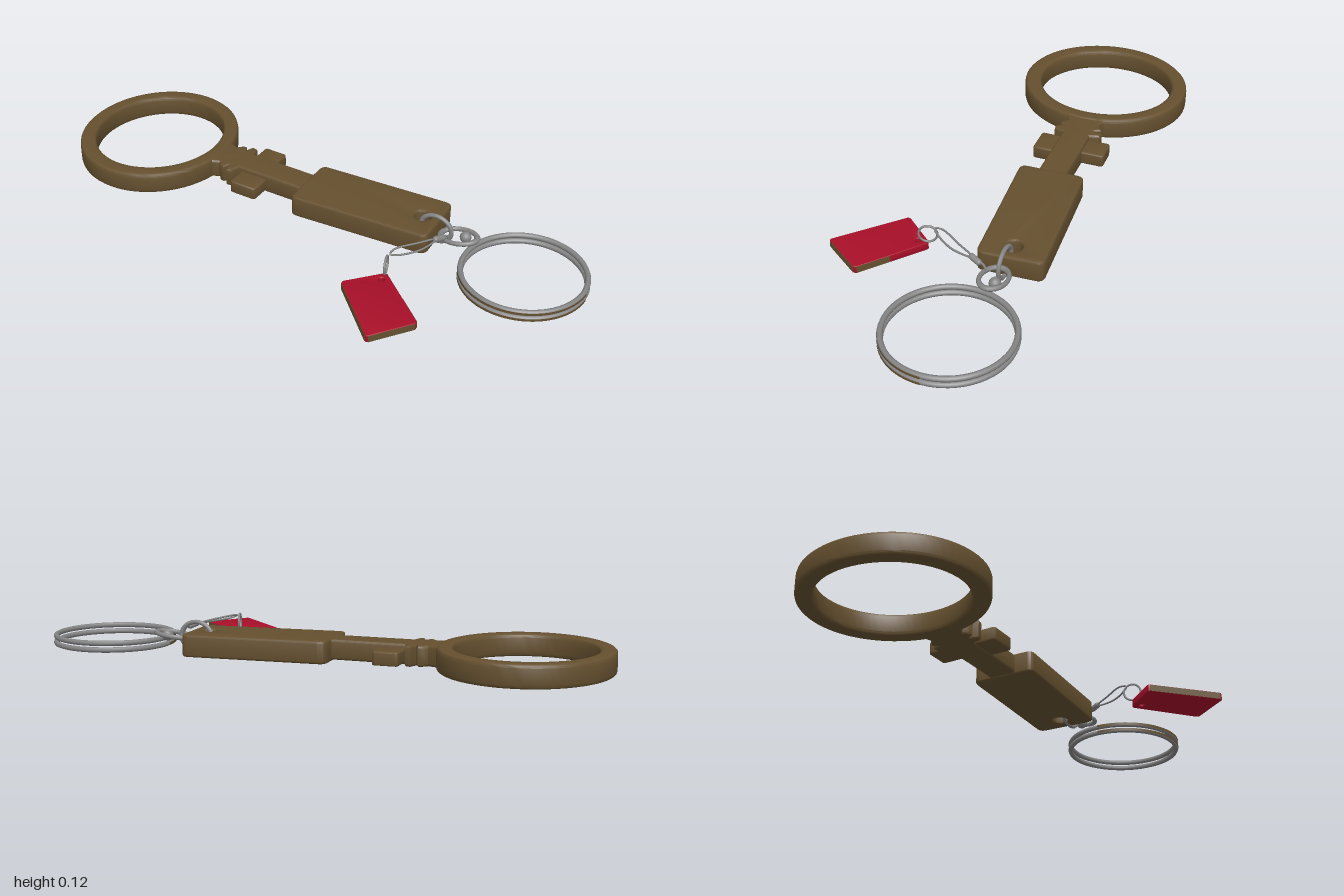
import * as THREE from 'three';
import { toCreasedNormals } from 'three/addons/utils/BufferGeometryUtils.js';

const brown = new THREE.MeshStandardMaterial({ color: 0x65502f });
brown.name = 'aged bronze';
const red = new THREE.MeshStandardMaterial({ color: 0xa80f28 });
red.name = 'red enamel';
const steel = new THREE.MeshStandardMaterial({ color: 0x858585 });
steel.name = 'steel';

const V = (x, y, z) => new THREE.Vector3(x, y, z);

// Plan outline given as [x, z] pairs, optionally with rounded corners
function outline(points, radius = 0) {
  const p = points.map(([x, z]) => new THREE.Vector2(x, -z));
  if (!radius) return new THREE.Shape(p);
  const shape = new THREE.Shape();
  p.forEach((c, i) => {
    const prev = p[(i + p.length - 1) % p.length], next = p[(i + 1) % p.length];
    const a = prev.clone().sub(c).setLength(radius).add(c);
    const b = next.clone().sub(c).setLength(radius).add(c);
    if (i) shape.lineTo(a.x, a.y); else shape.moveTo(a.x, a.y);
    shape.quadraticCurveTo(c.x, c.y, b.x, b.y);
  });
  shape.closePath();
  return shape;
}

function ellipse(x, z, rx, rz, Kind = THREE.Path) {
  return new Kind().absellipse(x, -z, rx, rz, 0, Math.PI * 2, false, 0);
}

// Upright slab from a plan shape, between two heights, with softened rims
function slab(name, shape, y0, y1, bevel, material) {
  let g = new THREE.ExtrudeGeometry(shape, {
    depth: y1 - y0 - 2 * bevel, curveSegments: 32, bevelEnabled: bevel > 0,
    bevelThickness: bevel, bevelSize: bevel, bevelOffset: -bevel, bevelSegments: 3,
  });
  g.rotateX(-Math.PI / 2).translate(0, y0 + bevel, 0);
  g = toCreasedNormals(g, 0.7);
  const m = new THREE.Mesh(g, material);
  m.name = name;
  return m;
}

function ring(name, radius, tube, position, rotation, scale = [1, 1, 1], segments = 32) {
  const m = new THREE.Mesh(new THREE.TorusGeometry(radius, tube, 8, segments), steel);
  m.name = name;
  m.position.set(...position);
  m.rotation.set(...rotation);
  m.scale.set(...scale);
  return m;
}

function createKey() {
  const key = new THREE.Group();
  key.name = 'key';

  // Large oval bow
  const bow = ellipse(-0.715, -0.132, 0.285, 0.31, THREE.Shape);
  bow.holes.push(ellipse(-0.715, -0.135, 0.23, 0.25));
  key.add(slab('bow', bow, 0.008, 0.085, 0.012, brown));

  // Neck with turned collars, running into the shaft
  const half = [[-0.47, 0.1], [-0.44, 0.07], [-0.41, 0.058], [-0.395, 0.075], [-0.38, 0.078],
    [-0.37, 0.056], [-0.36, 0.088], [-0.34, 0.085], [-0.33, 0.05], [-0.05, 0.05]];
  const neck = [...half.map(([x, w]) => [x, -0.14 + w]),
    ...half.slice().reverse().map(([x, w]) => [x, -0.14 - w])];
  key.add(slab('shaft', outline(neck), 0.012, 0.081, 0.008, brown));

  // Crosspiece lugs on both sides of the shaft
  key.add(slab('backLug', outline([[-0.33, -0.27], [-0.24, -0.27], [-0.24, -0.16], [-0.33, -0.16]], 0.012),
    0.018, 0.065, 0.006, brown));
  key.add(slab('frontLug', outline([[-0.32, -0.12], [-0.215, -0.12], [-0.215, -0.015], [-0.32, -0.015]], 0.012),
    0.018, 0.065, 0.006, brown));

  // Flat handle plate with an eyelet hole
  const plate = outline([[-0.077, -0.255], [0.432, -0.285], [0.442, -0.058], [-0.072, -0.022]], 0.028);
  plate.holes.push(ellipse(0.375, -0.165, 0.03, 0.028));
  key.add(slab('handlePlate', plate, 0.006, 0.083, 0.008, brown));
  return key;
}

function createRings() {
  const rings = new THREE.Group();
  rings.name = 'rings';

  // Two coils of the split ring with a bronze band on their front outer face
  [0.016, 0.039].forEach((y, i) => {
    rings.add(ring(`splitRingCoil${i + 1}`, 0.207, 0.0095, [0.778, y, -0.108], [Math.PI / 2, 0, 0], [1, 1, 1], 64));
    const band = new THREE.Mesh(new THREE.CylinderGeometry(0.2172, 0.2172, 0.009, 40, 1, true,
      -Math.PI / 2, Math.PI), brown);
    band.name = `splitRingBand${i + 1}`;
    band.position.set(0.778, y, -0.108);
    rings.add(band);
  });

  // Upright link through the handle and flat link joining it to the split ring
  rings.add(ring('uprightLink', 0.05, 0.0075, [0.433, 0.057, -0.155], [0, 0, 0], [1.15, 1, 1]));
  rings.add(ring('flatLink', 0.05, 0.0085, [0.52, 0.058, -0.152], [Math.PI / 2, 0.12, 0], [1.3, 0.9, 1]));
  const bead = new THREE.Mesh(new THREE.SphereGeometry(0.02, 16, 10), steel);
  bead.name = 'linkBead';
  bead.position.set(0.54, 0.056, -0.163);
  rings.add(bead);
  return rings;
}

function createTag() {
  const tag = new THREE.Group();
  tag.name = 'tag';

  // Red plate with a small hole
  const corners = [[0.395, 0.122], [0.6, 0.295], [0.495, 0.437], [0.29, 0.24]];
  const shape = outline(corners, 0.012);
  shape.holes.push(ellipse(0.398, 0.163, 0.011, 0.011));
  tag.add(slab('tagPlate', shape, 0.007, 0.034, 0.002, red));

  // Bronze edge strips on the exposed sides
  const mid = [0.498, 0.209];
  [[mid, corners[1]], [corners[1], corners[2]], [corners[2], corners[3]]].forEach(([a, b], i) => {
    const dx = b[0] - a[0], dz = b[1] - a[1];
    const strip = new THREE.Mesh(new THREE.BoxGeometry(Math.hypot(dx, dz) - 0.016, 0.023, 0.003), brown);
    strip.name = `tagEdge${i + 1}`;
    strip.position.set((a[0] + b[0]) / 2, 0.0205, (a[1] + b[1]) / 2);
    strip.rotation.y = -Math.atan2(dz, dx);
    tag.add(strip);
  });

  // Small ring through the tag hole
  tag.add(ring('tagRing', 0.031, 0.004, [0.394, 0.067, 0.127], [0, Math.PI / 2 + 0.3, 0]));

  // Thin wire loop and the clasp that holds it to the flat link
  const path = new THREE.CatmullRomCurve3([V(0.478, 0.085, -0.065), V(0.44, 0.094, 0.0),
    V(0.396, 0.1, 0.075), V(0.394, 0.096, 0.103), V(0.412, 0.088, 0.085), V(0.462, 0.083, 0.01)], true);
  const wire = new THREE.Mesh(new THREE.TubeGeometry(path, 60, 0.0035, 6, true), steel);
  wire.name = 'wireLoop';
  tag.add(wire);
  const clasp = new THREE.Mesh(new THREE.CapsuleGeometry(0.011, 0.03, 6, 12), steel);
  clasp.name = 'clasp';
  clasp.position.set(0.484, 0.084, -0.075);
  clasp.quaternion.setFromUnitVectors(V(0, 1, 0), V(0.4, -0.2, -0.9).normalize());
  tag.add(clasp);
  const hook = new THREE.Mesh(new THREE.TubeGeometry(new THREE.CatmullRomCurve3([
    V(0.488, 0.083, -0.09), V(0.495, 0.078, -0.108), V(0.5, 0.062, -0.118)]), 10, 0.004, 6), steel);
  hook.name = 'claspHook';
  tag.add(hook);
  return tag;
}

export function createModel() {
  const model = new THREE.Group();
  model.name = 'keyWithTag';
  model.add(createKey(), createRings(), createTag());
  return model;
}
